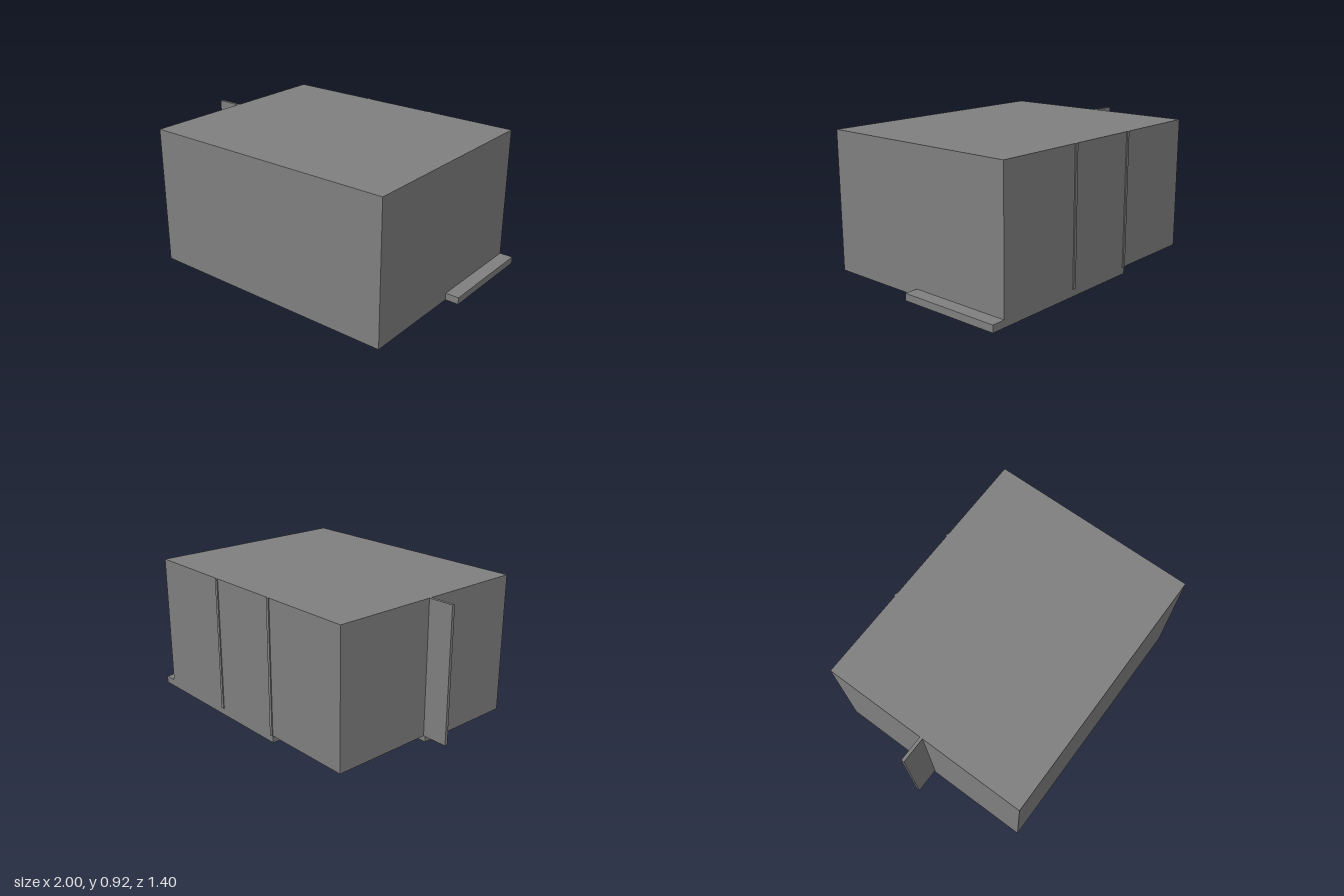
import * as THREE from 'three';

const X0 = -0.83, X1 = 0.91, BACK = -0.695, FRONT = 0.7;
const FLOOR = 0.046, TOP = 0.92, WALL = 0.02;

export function createModel() {
  const group = new THREE.Group();
  group.name = 'blockBuilding';
  const grey = new THREE.MeshStandardMaterial({ color: 0x808080 });
  grey.name = 'plain grey';

  // Box given by its lower and upper corners
  const box = (name, [ax, ay, az], [bx, by, bz]) => {
    const mesh = new THREE.Mesh(new THREE.BoxGeometry(bx - ax, by - ay, bz - az), grey);
    mesh.position.set((ax + bx) / 2, (ay + by) / 2, (az + bz) / 2);
    mesh.name = name;
    group.add(mesh);
  };

  // Base slab: notched at one back corner, with a ledge beyond the other side
  const outline = [
    [X0, FRONT], [X1, FRONT], [X1, 0], [1, 0],
    [1, BACK], [-0.225, BACK], [-0.225, 0], [X0, 0],
  ].map(([x, z]) => new THREE.Vector2(x, -z));
  const slab = new THREE.ExtrudeGeometry(new THREE.Shape(outline), { depth: FLOOR, bevelEnabled: false });
  slab.rotateX(-Math.PI / 2);
  const base = new THREE.Mesh(slab, grey);
  base.name = 'baseSlab';
  group.add(base);

  // Main volume above the slab
  box('mainBody', [X0, FLOOR, BACK], [X1, TOP, FRONT]);

  // Fin wall standing out from the side
  box('sideFin', [-1, FLOOR, -0.015], [X0, TOP, 0.005]);

  // Wall ends showing on the back
  for (const x of [-0.215, 0.3]) {
    box('backRib', [x - WALL / 2, FLOOR, -0.702], [x + WALL / 2, TOP, BACK]);
  }
  return group;
}
